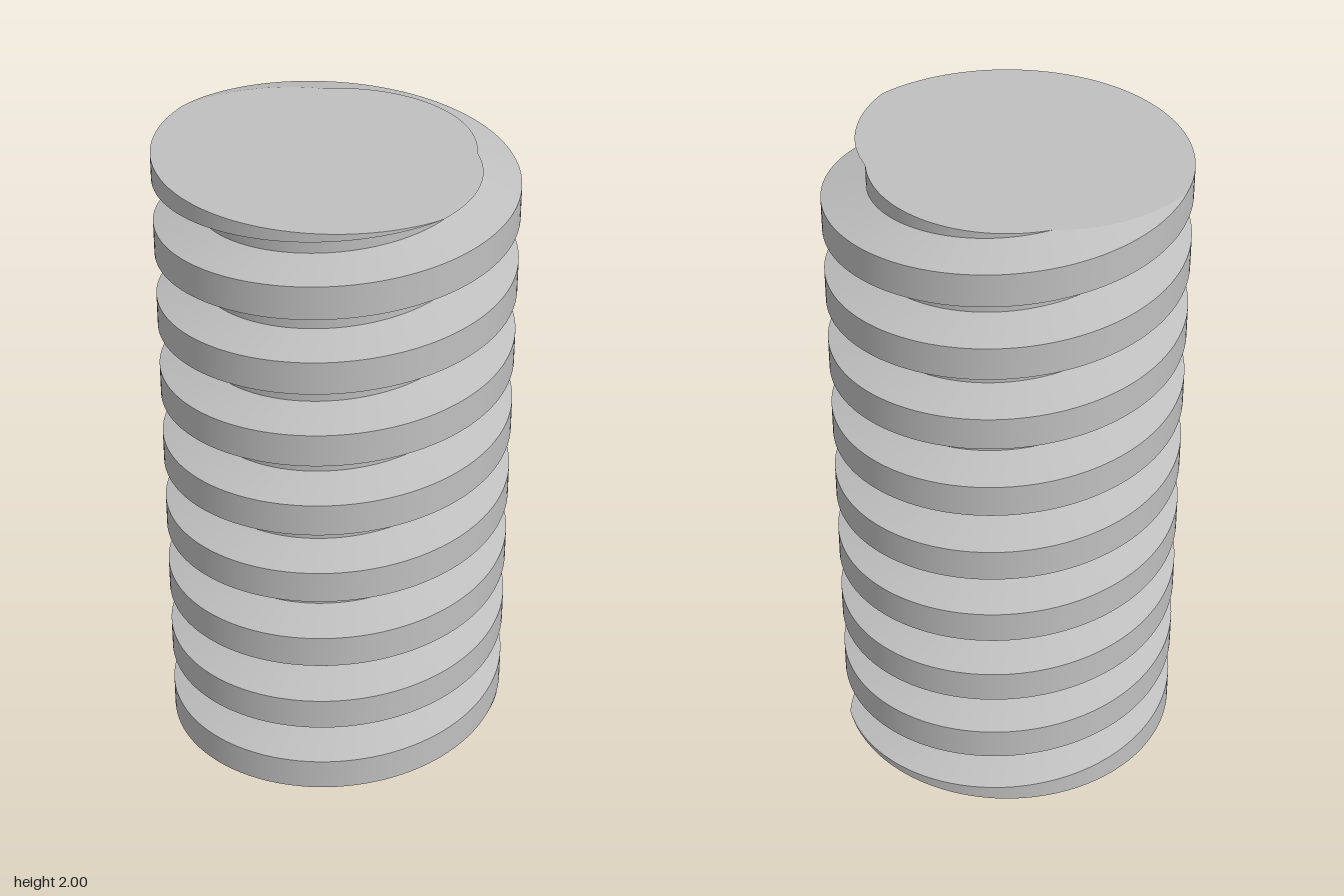
import * as THREE from 'three';
import { toCreasedNormals } from 'three/addons/utils/BufferGeometryUtils.js';

const HEIGHT = 2, CORE = 0.4, OUTER = 0.53, PITCH = 0.238;
const CREST = 0.051, ROOT = 0.085;   // half widths of the thread at its crest and root
const START = 1.968 - 9 * PITCH;     // height of a thread centre at -x, below the base
const SEGMENTS = 180, TURNS = 11;

// One pitch of the thread outline, as height offsets from the thread centre
const OFFSETS = [-ROOT, -CREST, CREST, ROOT];

// Radius of the rod at a given angle (turns from -x through +z) and height
function radiusAt(turn, y) {
  const d = (y - START) / PITCH - turn;
  const offset = Math.abs(d - Math.round(d)) * PITCH;
  const t = THREE.MathUtils.clamp((offset - CREST) / (ROOT - CREST), 0, 1);
  return THREE.MathUtils.lerp(OUTER, CORE, t);
}

function pointAt(turn, y) {
  const a = turn * Math.PI * 2, r = radiusAt(turn, y);
  return new THREE.Vector3(-Math.cos(a) * r, y, Math.sin(a) * r);
}

// Vertical outline of the rod at one angle, cut flat at both ends
function column(turn) {
  const points = [];
  for (let k = -1; k < TURNS; k++) {
    for (const offset of OFFSETS) {
      const y = START + (turn + k) * PITCH + offset;
      points.push(pointAt(turn, THREE.MathUtils.clamp(y, 0, HEIGHT)));
    }
  }
  return points;
}

function geometryFrom(triangles) {
  const geometry = new THREE.BufferGeometry().setFromPoints(triangles);
  return toCreasedNormals(geometry, 0.2);
}

export function createModel() {
  const group = new THREE.Group();
  group.name = 'threadedRod';
  const steel = new THREE.MeshStandardMaterial({ color: 0xc0c0c0 });
  steel.name = 'steel grey';

  const side = [], top = [], bottom = [];
  const addTriangle = (list, a, b, c) => {
    if (new THREE.Triangle(a, b, c).getArea() > 1e-9) list.push(a, b, c);
  };
  const topCentre = new THREE.Vector3(0, HEIGHT, 0);
  const bottomCentre = new THREE.Vector3(0, 0, 0);

  // Helical side and the two end faces, one slice at a time
  for (let i = 0; i < SEGMENTS; i++) {
    const p = column(i / SEGMENTS), q = column((i + 1) / SEGMENTS);
    for (let j = 0; j < p.length - 1; j++) {
      addTriangle(side, p[j], q[j], q[j + 1]);
      addTriangle(side, p[j], q[j + 1], p[j + 1]);
    }
    addTriangle(top, topCentre, p[p.length - 1], q[q.length - 1]);
    addTriangle(bottom, bottomCentre, q[0], p[0]);
  }

  const parts = { helicalThread: side, topFace: top, bottomFace: bottom };
  for (const [name, triangles] of Object.entries(parts)) {
    const mesh = new THREE.Mesh(geometryFrom(triangles), steel);
    mesh.name = name;
    group.add(mesh);
  }
  return group;
}
